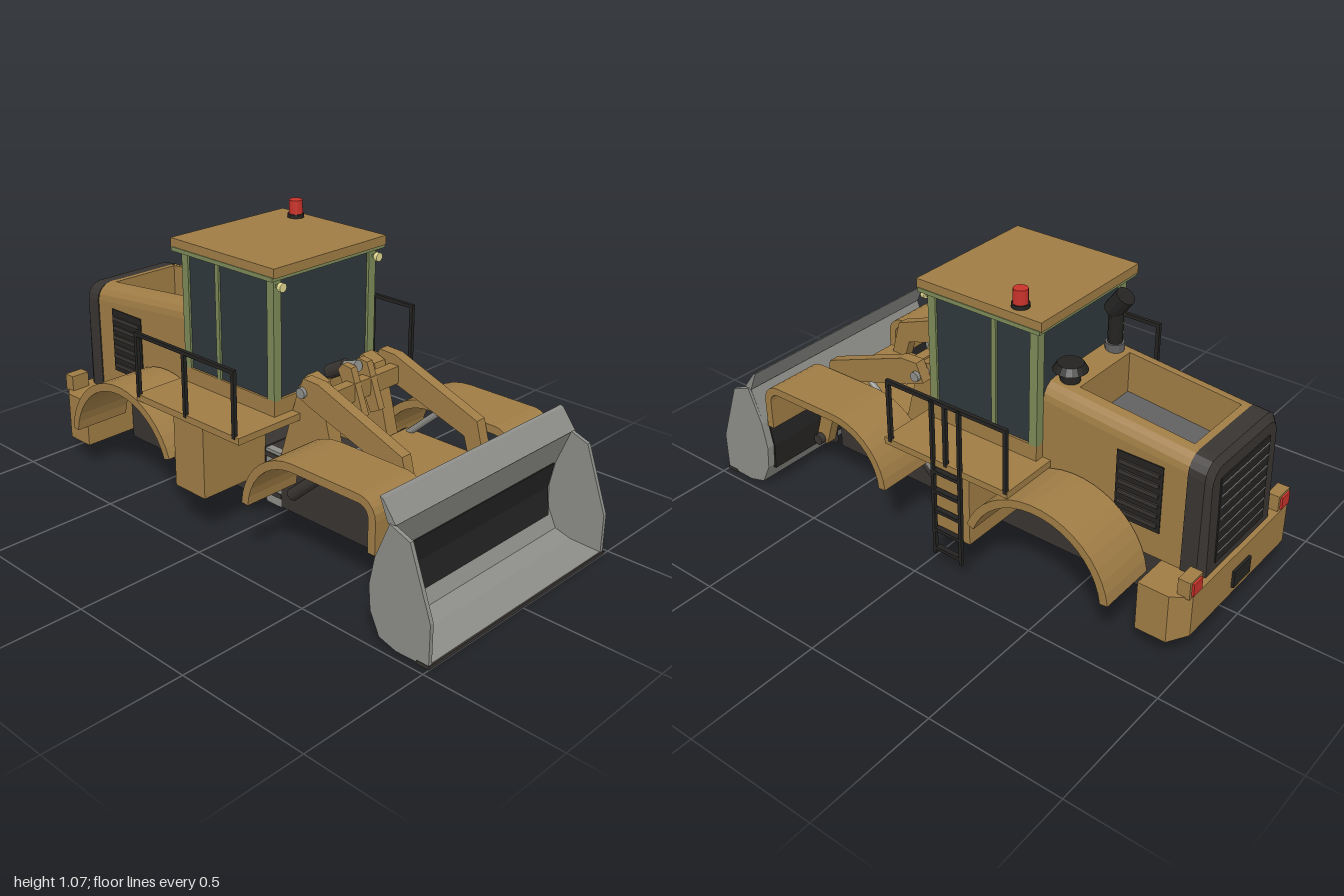
import * as THREE from 'three';

const mat = (color) => new THREE.MeshStandardMaterial({ color, flatShading: true, side: THREE.DoubleSide });
const YELLOW = mat(0x9f7c45), DARK = mat(0x383431), BLACK = mat(0x242322), STEEL = mat(0x8c8d88),
  GREY = mat(0x606060), GREEN = mat(0x7c8a58), GLASS = mat(0x2f383c), RED = mat(0xc8322a), CREAM = mat(0xe0d890);

export function createModel() {
  const root = new THREE.Group();
  root.name = 'wheelLoader';
  const add = (name, geo, m) => {
    const mesh = new THREE.Mesh(geo, m);
    mesh.name = name;
    root.add(mesh);
    return mesh;
  };
  // box from its minimum and maximum corners
  const box = (name, m, x0, x1, y0, y1, z0, z1) =>
    add(name, new THREE.BoxGeometry(x1 - x0, y1 - y0, Math.abs(z1 - z0))
      .translate((x0 + x1) / 2, (y0 + y1) / 2, (z0 + z1) / 2), m);
  const shapeOf = (pts) => new THREE.Shape(pts.map(([a, b]) => new THREE.Vector2(a, b)));
  // side profile (x, y) extruded across z
  const plate = (name, m, pts, z0, z1) => {
    const lo = Math.min(z0, z1), depth = Math.abs(z1 - z0);
    return add(name, new THREE.ExtrudeGeometry(shapeOf(pts), { depth, bevelEnabled: false }).translate(0, 0, lo), m);
  };
  // cross-section (z, y) extruded along x, vertices adjusted by a rule
  const section = (name, m, pts, x0, x1, rule) => {
    const g = new THREE.ExtrudeGeometry(shapeOf(pts), { depth: x1 - x0, bevelEnabled: false })
      .rotateY(Math.PI / 2).translate(x0, 0, 0);
    const p = g.attributes.position, v = new THREE.Vector3();
    for (let i = 0; i < p.count; i++) {
      rule(v.fromBufferAttribute(p, i));
      p.setXYZ(i, v.x, v.y, v.z);
    }
    g.computeVertexNormals();
    return add(name, g, m);
  };
  // round bar between two points
  const rod = (name, m, a, b, r, sides = 12, r2 = r) => {
    const A = new THREE.Vector3(...a), B = new THREE.Vector3(...b), d = B.clone().sub(A);
    const mesh = add(name, new THREE.CylinderGeometry(r2, r, d.length(), sides), m);
    mesh.position.copy(A).add(B).multiplyScalar(0.5);
    mesh.quaternion.setFromUnitVectors(new THREE.Vector3(0, 1, 0), d.normalize());
    return mesh;
  };
  const arc = (cx, cy, r, a0, a1, n) => Array.from({ length: n + 1 }, (_, i) => {
    const a = THREE.MathUtils.degToRad(a0 + (a1 - a0) * i / n);
    return [cx + r * Math.cos(a), cy + r * Math.sin(a)];
  });

  // Hull and articulation joint
  plate('rearHull', DARK, [[-0.81, 0.055], [-0.04, 0.055], [-0.04, 0.27], [-0.81, 0.27]], -0.14, 0.14);
  plate('frontHull', DARK, [[0.04, 0.055], [0.7, 0.055], [0.7, 0.165], [0.42, 0.27], [0.04, 0.27]], -0.14, 0.14);
  box('jointBlock', DARK, -0.04, 0.04, 0.06, 0.265, -0.11, 0.11);
  rod('jointPin', STEEL, [0, 0.045, 0], [0, 0.28, 0], 0.045, 16);

  // Hood with a recessed top, sloping down toward the back
  const corner = arc(0.155, 0.635, 0.06, 0, 90, 4);
  const outline = [[0.215, 0.27], ...corner];
  const mirrorPts = (pts) => pts.map(([z, y]) => [-z, y]).reverse();
  const solid = [...outline, ...mirrorPts(outline)];
  const halfNotch = [...outline, [0.145, 0.695], [0.145, 0.54]];
  const slope = (v) => { if (v.y > 0.5) v.y += 0.1 * (v.x + 0.9); };
  section('hoodRearRim', YELLOW, solid, -0.89, -0.86, slope);
  section('hoodTray', YELLOW, [...halfNotch, ...mirrorPts(halfNotch)], -0.86, -0.43, slope);
  section('hoodFront', YELLOW, solid, -0.43, -0.335, slope);
  section('trayFloor', GREY, [[-0.143, 0.535], [0.143, 0.535], [0.143, 0.545], [-0.143, 0.545]], -0.858, -0.432, slope);

  // Radiator surround and grille
  const surround = solid.map(([z, y]) => [z * 1.02, y]);
  section('radiatorSurround', DARK, surround, -0.945, -0.885, slope);
  section('radiatorBack', DARK, surround, -0.972, -0.945, (v) => {
    slope(v);
    if (v.x < -0.96) { v.z *= 0.93; if (v.y > 0.5) { v.y -= 0.022; v.x += 0.008; } }
  });
  const grille = box('grillePanel', BLACK, -0.004, 0.004, -0.16, 0.16, -0.155, 0.155);
  grille.position.set(-0.968, 0.46, 0);
  grille.rotation.z = -0.02;
  for (let i = 0; i < 7; i++) {
    const slat = box('grilleSlat', GREY, -0.004, 0.004, -0.01, 0.01, -0.15, 0.15);
    slat.position.set(-0.971 + i * 0.0008, 0.33 + i * 0.043, 0);
    slat.rotation.z = 0.4;
  }

  // Counterweight, plan outline with chamfered corners and sloped underside
  const plan = [[-0.99, -0.31], [-0.93, -0.355], [-0.815, -0.355], [-0.815, 0.355], [-0.93, 0.355], [-0.99, 0.31]];
  const weight = new THREE.ExtrudeGeometry(shapeOf(plan), { depth: 0.185, bevelEnabled: false })
    .rotateX(-Math.PI / 2).translate(0, 0.085, 0);
  const wp = weight.attributes.position;
  for (let i = 0; i < wp.count; i++) {
    if (wp.getY(i) < 0.1) wp.setY(i, wp.getX(i) < -0.95 ? 0.115 : 0.085);
  }
  weight.computeVertexNormals();
  add('counterweight', weight, YELLOW);
  box('rearHitch', BLACK, -1, -0.98, 0.145, 0.21, -0.055, 0.055);

  // Cab: base, glass, frame and roof
  box('platform', YELLOW, -0.37, 0.16, 0.445, 0.47, -0.45, 0.45);
  box('cabSill', YELLOW, -0.336, 0.122, 0.468, 0.528, -0.25, 0.25);
  box('cabGlass', GLASS, -0.325, 0.112, 0.525, 0.965, -0.242, 0.242);
  for (const s of [1, -1]) {
    for (const [x0, x1, z0] of [[-0.336, -0.304, 0.215], [-0.165, -0.147, 0.235], [0.09, 0.122, 0.215]])
      box('cabPillar', GREEN, x0, x1, 0.525, 0.965, s * z0, s * 0.25);
    rod('workLamp', CREAM, [0.138, 0.935, s * 0.235], [0.153, 0.935, s * 0.235], 0.016);
    box('lampBracket', GREEN, 0.115, 0.14, 0.93, 0.94, s * 0.23, s * 0.24);
  }
  box('roofTrim', GREEN, -0.36, 0.142, 0.96, 0.975, -0.276, 0.276);
  box('roof', YELLOW, -0.365, 0.148, 0.972, 1.006, -0.273, 0.273);
  rod('beaconBase', BLACK, [-0.245, 1.005, -0.222], [-0.245, 1.02, -0.222], 0.031, 20);
  rod('beacon', RED, [-0.245, 1.018, -0.222], [-0.245, 1.071, -0.222], 0.026, 20, 0.025);

  // Exhaust and air intake behind the cab
  rod('exhaustStack', BLACK, [-0.378, 0.72, 0.13], [-0.378, 0.91, 0.13], 0.026);
  rod('exhaustCollar', GREY, [-0.378, 0.745, 0.13], [-0.378, 0.775, 0.13], 0.034);
  rod('exhaustTip', BLACK, [-0.365, 0.89, 0.13], [-0.412, 0.955, 0.13], 0.036);
  rod('intakeNeck', BLACK, [-0.38, 0.72, -0.13], [-0.38, 0.795, -0.13], 0.035);
  rod('intakeCap', BLACK, [-0.38, 0.785, -0.13], [-0.38, 0.81, -0.13], 0.06, 18, 0.045);

  // Fender profiles: a rear arch and a front arch with a flat top
  const rearArch = [...arc(-0.478, 0.17, 0.295, 172, 20, 18), ...arc(-0.478, 0.17, 0.265, 20, 172, 18)];
  const frontArch = [...arc(0.41, 0.225, 0.24, 176, 90, 9), ...arc(0.69, 0.395, 0.07, 90, 0, 5), [0.76, 0.28],
    [0.73, 0.28], ...arc(0.69, 0.395, 0.04, 0, 90, 5), ...arc(0.41, 0.225, 0.21, 90, 176, 9)];

  for (const s of [1, -1]) {
    plate('rearFender', YELLOW, rearArch, s * 0.225, s * 0.452);
    plate('frontFender', YELLOW, frontArch, s * 0.225, s * 0.452);
    box('sideTank', YELLOW, -0.195, -0.042, 0.165, 0.446, s * 0.138, s * 0.43);

    // Hood side louvers
    box('louverPanel', BLACK, -0.8, -0.628, 0.37, 0.622, s * 0.2, s * 0.219);
    for (let i = 0; i < 6; i++) box('louverSlat', DARK, -0.79, -0.638, 0.39 + i * 0.038, 0.405 + i * 0.038, s * 0.21, s * 0.226);

    // Tail lamps on the counterweight
    box('tailLampBox', YELLOW, -0.985, -0.94, 0.265, 0.33, s * 0.25, s * 0.325);
    box('tailLamp', RED, -0.993, -0.984, 0.275, 0.322, s * 0.262, s * 0.314);

    // Platform handrails
    for (const x of [-0.36, -0.11, 0.135]) box('railPost', BLACK, x - 0.007, x + 0.007, 0.46, 0.7, s * 0.438, s * 0.452);
    box('railTop', BLACK, -0.367, 0.142, 0.69, 0.704, s * 0.438, s * 0.452);

    // Loader tower and lift arms
    plate('loaderTower', YELLOW, [[0.06, 0.26], [0.155, 0.57], [0.19, 0.62], [0.25, 0.6], [0.34, 0.26]], s * 0.11, s * 0.165);
    plate('liftArm', YELLOW, [[0.19, 0.56], [0.22, 0.63], [0.29, 0.627], [0.655, 0.49], [0.755, 0.13], [0.745, 0.09],
      [0.705, 0.1], [0.605, 0.42], [0.25, 0.535]], s * 0.17, s * 0.212);
    rod('armPin', STEEL, [0.22, 0.58, s * 0.1], [0.22, 0.58, s * 0.226], 0.019);
    rod('armTipPin', DARK, [0.735, 0.115, s * 0.15], [0.735, 0.115, s * 0.235], 0.022);
    box('bucketLug', DARK, 0.72, 0.76, 0.07, 0.17, s * 0.14, s * 0.165);
    rod('liftCylinder', DARK, [0.15, 0.165, s * 0.192], [0.34, 0.335, s * 0.19], 0.023);
    rod('liftRod', STEEL, [0.34, 0.335, s * 0.19], [0.49, 0.47, s * 0.185], 0.012);
    box('jointSide', STEEL, -0.038, 0.038, 0.05, 0.265, s * 0.1, s * 0.138);
    for (const y of [0.085, 0.235]) box('jointBand', DARK, -0.04, 0.04, y, y + 0.018, s * 0.1, s * 0.142);

    // Tilt lever plates
    plate('tiltLever', YELLOW, [[0.23, 0.62], [0.25, 0.645], [0.29, 0.64], [0.35, 0.48], [0.31, 0.46]], s * 0.026, s * 0.054);
  }
  box('armCrossBeam', YELLOW, 0.27, 0.31, 0.525, 0.59, -0.21, 0.21);
  box('frontAxleCover', YELLOW, 0.33, 0.735, 0.27, 0.35, -0.205, 0.205);
  rod('tiltCylinder', DARK, [0.14, 0.57, 0], [0.22, 0.615, 0], 0.026);
  rod('tiltRod', STEEL, [0.21, 0.61, 0], [0.275, 0.63, 0], 0.02);
  box('bucketCoupler', DARK, 0.725, 0.775, 0.24, 0.335, -0.03, 0.03);

  // Ladder on the far side
  for (const x of [-0.175, -0.06]) box('ladderRail', BLACK, x - 0.006, x + 0.006, 0.085, 0.7, -0.459, -0.445);
  for (let i = 0; i < 5; i++) box('ladderRung', BLACK, -0.175, -0.06, 0.1 + i * 0.08, 0.113 + i * 0.08, -0.458, -0.438);

  // Bucket: curved shell, spill guard, side plates, back panel, cutting edge
  const outer = [[0.83, 0.43], [0.775, 0.29], [0.755, 0.19], [0.762, 0.1], [0.8, 0.022], [0.87, 0.002], [0.995, 0.002]];
  const inner = [[0.995, 0.014], [0.875, 0.018], [0.812, 0.036], [0.778, 0.105], [0.771, 0.19], [0.791, 0.287], [0.845, 0.425]];
  plate('bucketShell', STEEL, [...outer, ...inner], -0.46, 0.46);
  plate('spillGuard', STEEL, [[0.785, 0.5], [0.82, 0.42], [0.85, 0.425], [0.797, 0.495]], -0.465, 0.465);
  plate('bucketPanel', BLACK, [[0.769, 0.29], [0.749, 0.19], [0.755, 0.085], [0.79, 0.085], [0.777, 0.19], [0.797, 0.29]], -0.44, 0.44);
  for (const s of [1, -1])
    plate('bucketSide', STEEL, [[0.83, 0.425], [0.91, 0.395], [0.997, 0.155], [0.997, 0.006], ...outer.slice(1, 6).reverse()],
      s * 0.455, s * 0.47);
  box('cuttingEdge', DARK, 0.95, 1, 0, 0.012, -0.472, 0.472);
  return root;
}
